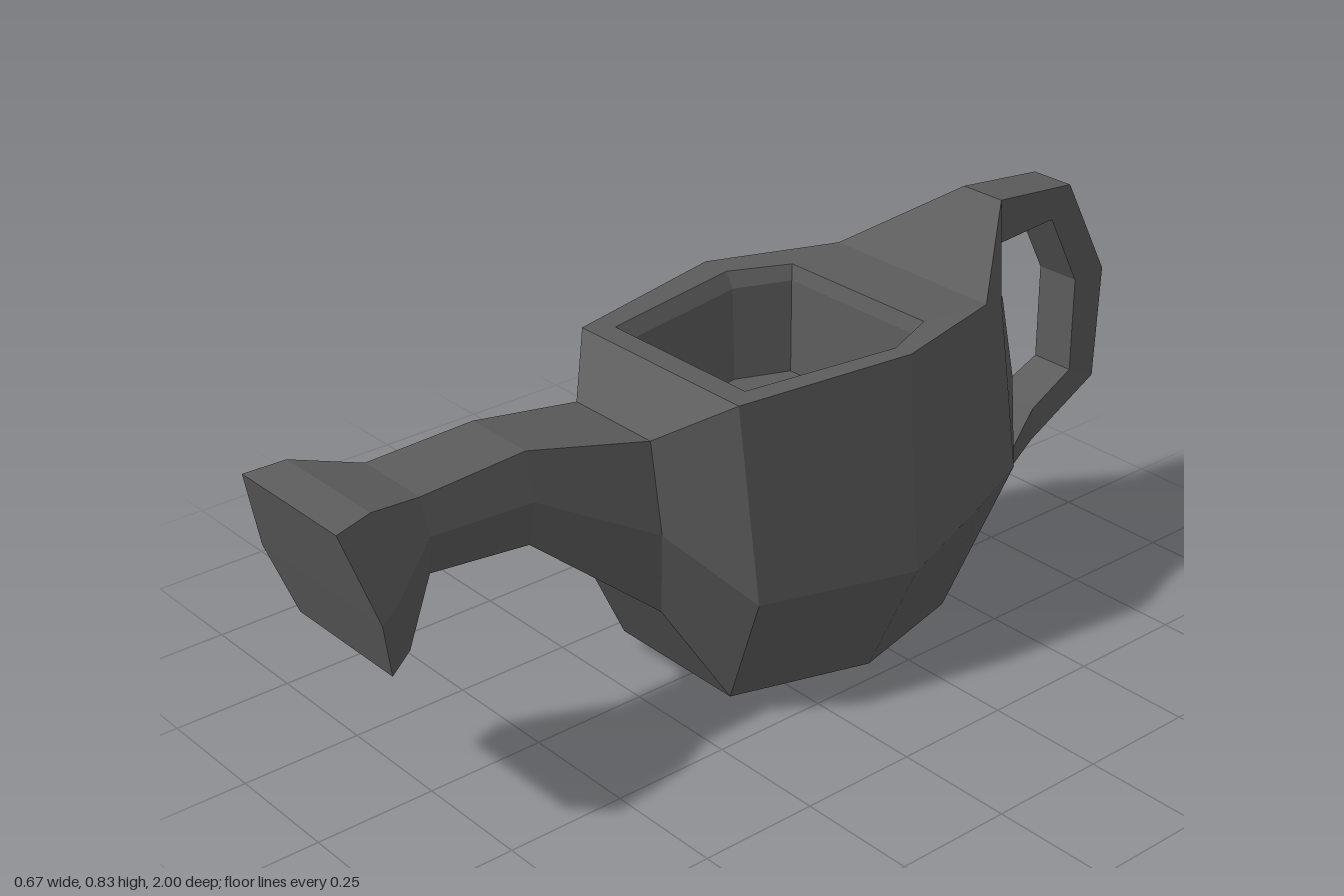
import * as THREE from 'three';

const material = new THREE.MeshStandardMaterial({ color: 0x5c5c5c });

// Skins a row of equally long point rings with flat panels; skip(i, j) leaves a panel open.
function loft(name, rings, { capStart = false, capEnd = false, skip = () => false } = {}) {
  const pos = [], normals = [];
  const vec = (p) => new THREE.Vector3(...p);
  // One normal per four-cornered panel keeps slightly twisted panels evenly shaded
  const quad = (a, b, c, d) => {
    const normal = vec(c).sub(vec(a)).cross(vec(d).sub(vec(b))).normalize().toArray();
    for (const p of [a, b, c, a, c, d]) {
      pos.push(...p);
      normals.push(...normal);
    }
  };
  const n = rings[0].length;
  for (let i = 0; i < rings.length - 1; i++) {
    for (let j = 0; j < n; j++) {
      const k = (j + 1) % n;
      if (!skip(i, j)) quad(rings[i][j], rings[i + 1][j], rings[i + 1][k], rings[i][k]);
    }
  }
  // Six-cornered caps: a lower and an upper panel
  const cap = ([a, b, c, d, e, f]) => {
    quad(a, b, e, f);
    quad(b, c, d, e);
  };
  if (capStart) cap(rings[0]);
  if (capEnd) cap(rings[rings.length - 1].slice().reverse());
  const geometry = new THREE.BufferGeometry();
  geometry.setAttribute('position', new THREE.Float32BufferAttribute(pos, 3));
  geometry.setAttribute('normal', new THREE.Float32BufferAttribute(normals, 3));
  const mesh = new THREE.Mesh(geometry, material);
  mesh.name = name;
  return mesh;
}

// Completes a ring from its +x half.
const mirror = (half) => [...half, ...half.slice().reverse().map(([x, y, z]) => [-x, y, z])];

export function createModel() {
  const group = new THREE.Group();
  group.name = 'wateringCan';

  // Half sections: lower edge, widest point, upper edge, each [x, y, z]
  const spoutRoot = [[0.11, 0.255, 0.28], [0.14, 0.44, 0.30], [0.11, 0.625, 0.30]];

  // Spout, from the tilted flared head back to the body
  const spout = [
    [[0.147, 0.385, 0.91], [0.19, 0.52, 0.95], [0.147, 0.695, 1.0]],
    [[0.13, 0.41, 0.86], [0.17, 0.54, 0.90], [0.13, 0.703, 0.92]],
    [[0.085, 0.515, 0.78], [0.107, 0.60, 0.79], [0.085, 0.67, 0.79]],
    [[0.08, 0.49, 0.56], [0.10, 0.585, 0.56], [0.08, 0.68, 0.56]],
    spoutRoot,
  ];
  group.add(loft('spout', spout.map(mirror), { capStart: true }));

  // Body, open on top between the second and fourth sections
  const body = [
    spoutRoot,
    [[0.165, 0.04, 0.155], [0.26, 0.29, 0.165], [0.23, 0.705, 0.19]],
    [[0.207, 0, -0.18], [0.333, 0.268, -0.18], [0.297, 0.72, -0.18]],
    [[0.165, 0.025, -0.43], [0.26, 0.295, -0.43], [0.212, 0.71, -0.47]],
    [[0.12, 0.2, -0.61], [0.19, 0.3, -0.60], [0.14, 0.67, -0.59]],
    [[0.12, 0.29, -0.67], [0.10, 0.45, -0.68], [0.065, 0.62, -0.675]],
  ];
  group.add(loft('body', body.map(mirror), {
    capEnd: true,
    skip: (i, j) => j === 2 && (i === 1 || i === 2),
  }));

  // Rim, bevelled lip, inner walls and floor of the opening
  const opening = [
    [body[3][2], body[2][2], body[1][2]],
    [[0.19, 0.71, -0.32], [0.245, 0.712, -0.19], [0.19, 0.705, 0.14]],
    [[0.18, 0.68, -0.31], [0.225, 0.68, -0.19], [0.175, 0.675, 0.12]],
    [[0.175, 0.48, -0.305], [0.22, 0.48, -0.19], [0.17, 0.48, 0.115]],
  ];
  group.add(loft('opening', opening.map(mirror), { capEnd: true }));

  // Handle: [outer z, outer y, outer half width, inner z, inner y, inner half width]
  const handle = [
    [-0.47, 0.71, 0.212, -0.59, 0.67, 0.14],
    [-0.67, 0.83, 0.053, -0.67, 0.735, 0.053],
    [-0.88, 0.81, 0.05, -0.83, 0.745, 0.05],
    [-1.0, 0.59, 0.05, -0.915, 0.585, 0.05],
    [-0.99, 0.34, 0.05, -0.915, 0.375, 0.05],
    [-0.80, 0.245, 0.055, -0.80, 0.32, 0.055],
    [-0.61, 0.2, 0.12, -0.67, 0.29, 0.12],
  ].map(([oz, oy, ow, iz, iy, iw]) => [[-iw, iy, iz], [iw, iy, iz], [ow, oy, oz], [-ow, oy, oz]]);
  group.add(loft('handle', handle));

  return group;
}
